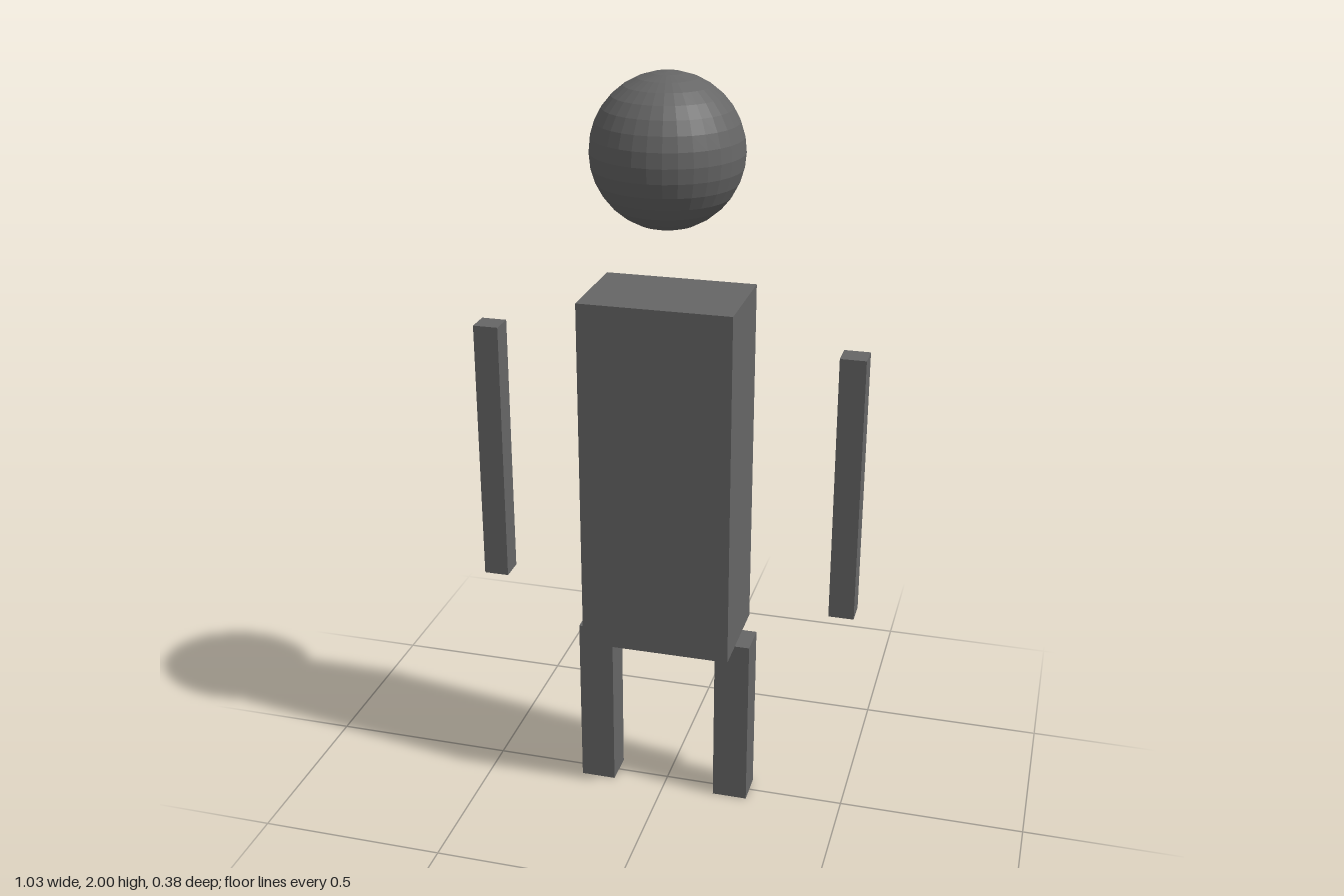
import * as THREE from 'three';

export function createModel() {
  const model = new THREE.Group();
  const material = new THREE.MeshStandardMaterial({ color: 0x666666, flatShading: true });

  const add = (name, geometry, x, y) => {
    const mesh = new THREE.Mesh(geometry, material);
    mesh.name = name;
    mesh.position.set(x, y, 0);
    model.add(mesh);
  };

  // Floating head and block torso
  add('head', new THREE.SphereGeometry(0.192, 32, 16), 0, 1.808);
  add('torso', new THREE.BoxGeometry(0.4, 0.962, 0.269), 0, 0.965);

  // Detached arms and legs, mirrored; the left side is +x
  for (const [side, sign] of [['left', 1], ['right', -1]]) {
    add(side + 'Arm', new THREE.BoxGeometry(0.067, 0.721, 0.067), sign * 0.481, 0.966);
    add(side + 'Leg', new THREE.BoxGeometry(0.095, 0.484, 0.093), sign * 0.192, 0.242);
  }

  return model;
}
